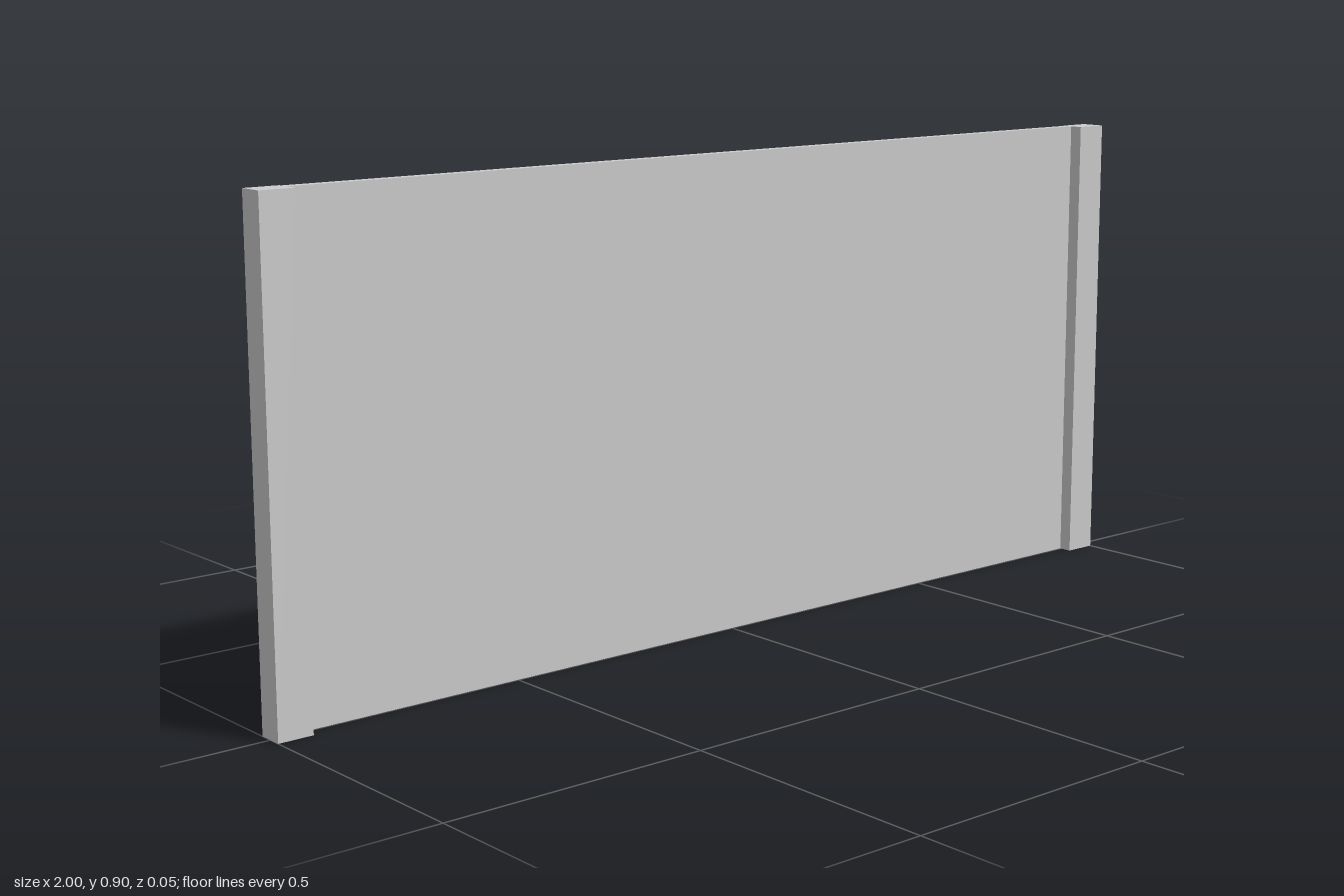
import * as THREE from 'three';

const HEIGHT = 0.904;
const POST_WIDTH = 0.067;
const POST_DEPTH = 0.05;

export function createModel() {
  const group = new THREE.Group();
  group.name = 'fencePanel';
  const material = new THREE.MeshStandardMaterial({ color: 0xcccccc, flatShading: true });

  const addBox = (name, width, depth, x, z) => {
    const mesh = new THREE.Mesh(new THREE.BoxGeometry(width, HEIGHT, depth), material);
    mesh.name = name;
    mesh.position.set(x, HEIGHT / 2, z);
    group.add(mesh);
  };

  // Square posts at both ends
  for (const [name, side] of [['leftPost', 1], ['rightPost', -1]]) {
    addBox(name, POST_WIDTH, POST_DEPTH, side * (1 - POST_WIDTH / 2), 0);
  }

  // Thin panel between the posts, set towards the back
  addBox('panel', 2 - 2 * POST_WIDTH, 0.019, 0, -0.0105);

  return group;
}
